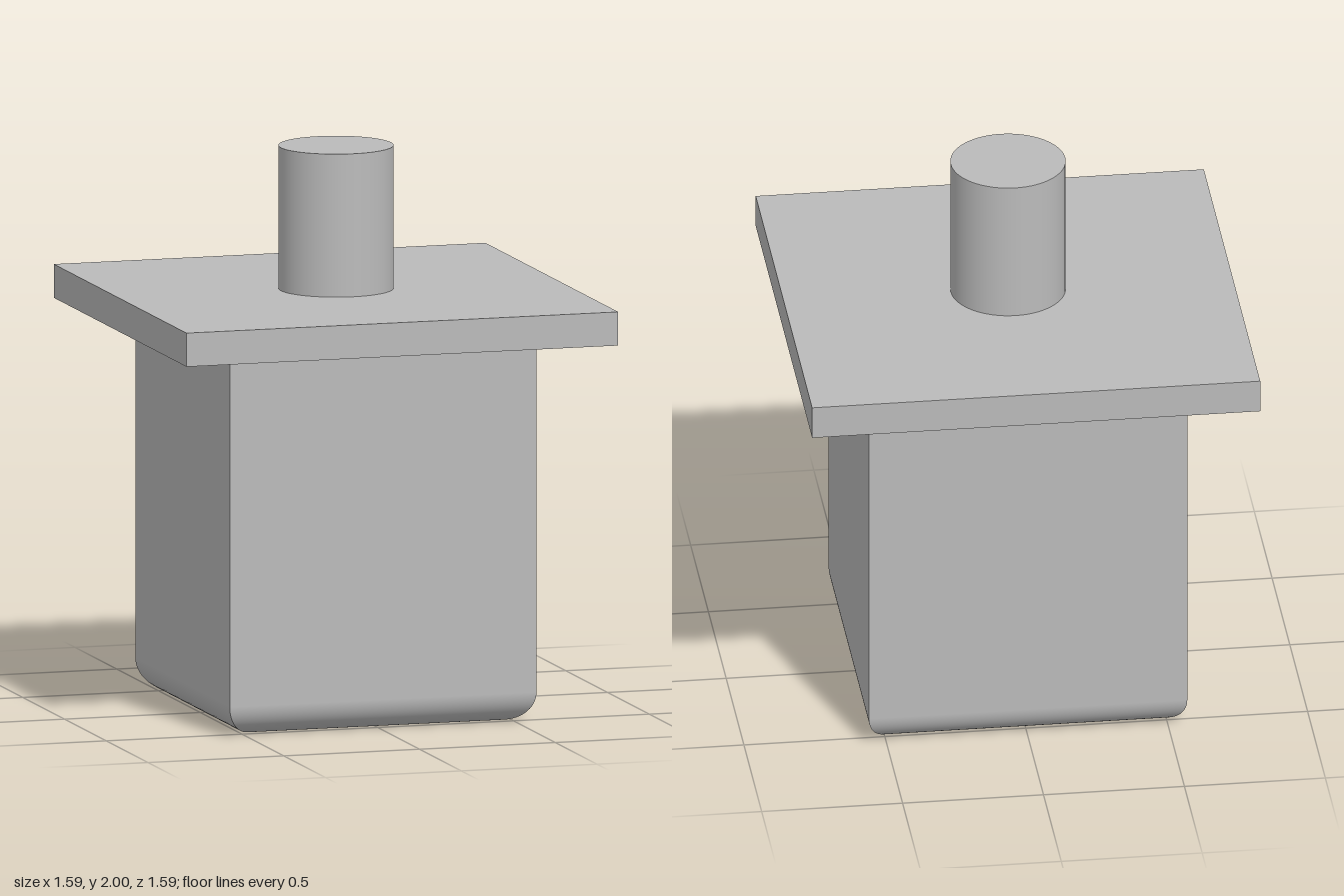
import * as THREE from 'three';

const BODY_HALF = 0.565, FILLET = 0.11, FLANGE_HALF = 0.795;
const FLANGE_BOTTOM = 1.37, FLANGE_TOP = 1.49, PEG_RADIUS = 0.203, HEIGHT = 2;

// One side wall facing +z that curves under at the bottom, with mitred ends
function sideGeometry(steps = 16) {
  const rows = [[BODY_HALF, FLANGE_BOTTOM, 0]];
  for (let i = 0; i <= steps; i++) {
    const t = (i / steps) * Math.PI / 2;
    rows.push([BODY_HALF - FILLET + FILLET * Math.cos(t), FILLET - FILLET * Math.sin(t), t]);
  }
  const positions = [], normals = [], index = [];
  rows.forEach(([half, y, t], i) => {
    for (const s of [-1, 1]) {
      positions.push(s * half, y, half);
      normals.push(0, -Math.sin(t), Math.cos(t));
    }
    if (i > 0) {
      const a = 2 * (i - 1);
      index.push(a, a + 2, a + 1, a + 1, a + 2, a + 3);
    }
  });
  const geometry = new THREE.BufferGeometry();
  geometry.setAttribute('position', new THREE.Float32BufferAttribute(positions, 3));
  geometry.setAttribute('normal', new THREE.Float32BufferAttribute(normals, 3));
  geometry.setIndex(index);
  return geometry;
}

export function createModel() {
  const model = new THREE.Group();
  model.name = 'flangedPlug';
  const grey = new THREE.MeshStandardMaterial({ color: 0xbbbbbb });
  grey.name = 'grey';

  const add = (parent, name, geometry, y = 0) => {
    const mesh = new THREE.Mesh(geometry, grey);
    mesh.name = name;
    mesh.position.y = y;
    parent.add(mesh);
    return mesh;
  };

  // Square body: four filleted walls and a flat underside
  const body = new THREE.Group();
  body.name = 'body';
  model.add(body);
  const side = sideGeometry();
  ['front', 'left', 'back', 'right'].forEach((name, i) => {
    add(body, name + 'Wall', side).rotation.y = i * Math.PI / 2;
  });
  const baseWidth = 2 * (BODY_HALF - FILLET);
  add(body, 'underside', new THREE.PlaneGeometry(baseWidth, baseWidth).rotateX(Math.PI / 2));

  // Square flange plate
  add(model, 'flange',
    new THREE.BoxGeometry(2 * FLANGE_HALF, FLANGE_TOP - FLANGE_BOTTOM, 2 * FLANGE_HALF),
    (FLANGE_TOP + FLANGE_BOTTOM) / 2);

  // Round peg on top
  add(model, 'peg',
    new THREE.CylinderGeometry(PEG_RADIUS, PEG_RADIUS, HEIGHT - FLANGE_TOP, 64),
    (HEIGHT + FLANGE_TOP) / 2);

  return model;
}
